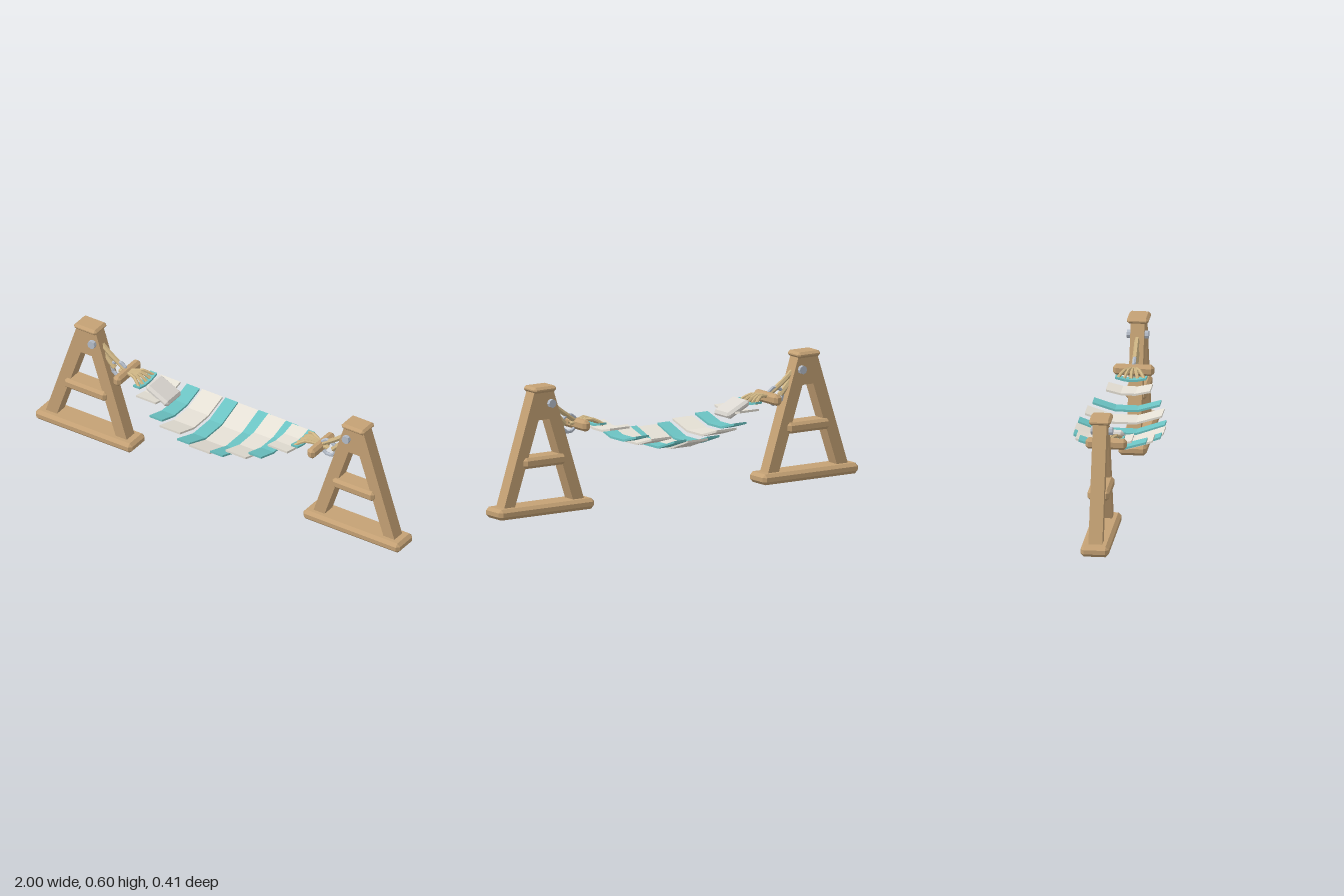
import * as THREE from 'three';
import { ConvexGeometry } from 'three/addons/geometries/ConvexGeometry.js';

const mat = (color) => new THREE.MeshStandardMaterial({ color, flatShading: true });
const V = (x, y, z) => new THREE.Vector3(x, y, z);

// Box with all edges and corners chamfered by c
function chamferBox(w, h, d, c) {
  const pts = [];
  for (const i of [-1, 1]) for (const j of [-1, 1]) for (const k of [-1, 1]) {
    const x = i * w / 2, y = j * h / 2, z = k * d / 2;
    pts.push(V(x, y - j * c, z - k * c), V(x - i * c, y, z - k * c), V(x - i * c, y - j * c, z));
  }
  return new ConvexGeometry(pts);
}

function add(group, name, geometry, material, x = 0, y = 0, z = 0) {
  const mesh = new THREE.Mesh(geometry, material);
  mesh.name = name;
  mesh.position.set(x, y, z);
  group.add(mesh);
  return mesh;
}

// Low-sided rope through a few points
const rope = (points, r) =>
  new THREE.TubeGeometry(new THREE.CatmullRomCurve3(points), 6, r, 6, false);

export function createModel() {
  const model = new THREE.Group();
  model.name = 'hammock';
  const wood = mat(0xc4a174), cream = mat(0xe6e1d6), teal = mat(0x6cc4c4);
  const ropeMat = mat(0xcdb483), metal = mat(0xb4bcc8), pillowMat = mat(0xdad6d0);
  ropeMat.side = THREE.DoubleSide;

  // A-frame outline with the opening between the legs
  const frame = new THREE.Shape([
    [-0.225, 0.04], [0.225, 0.04], [0.052, 0.575], [-0.052, 0.575],
  ].map(([x, y]) => new THREE.Vector2(x, y)));
  frame.holes.push(new THREE.Path([
    [-0.163, 0.045], [-0.03, 0.44], [0.03, 0.44], [0.163, 0.045],
  ].map(([x, y]) => new THREE.Vector2(x, y))));
  const frameGeo = new THREE.ExtrudeGeometry(frame, { depth: 0.064, bevelEnabled: false });
  frameGeo.translate(0, 0, -0.032);

  for (const s of [-1, 1]) {
    const end = new THREE.Group();
    end.name = s < 0 ? 'rightStand' : 'leftStand';
    model.add(end);

    // Wooden stand
    add(end, 'base', chamferBox(0.53, 0.05, 0.13, 0.015), wood, s * 0.735, 0.025);
    add(end, 'legs', frameGeo, wood, s * 0.735);
    add(end, 'rung', chamferBox(0.23, 0.05, 0.1, 0.013), wood, s * 0.735, 0.247);
    add(end, 'cap', chamferBox(0.125, 0.028, 0.1, 0.011), wood, s * 0.735, 0.581);

    // Bolt and hanging ring
    const bolt = new THREE.CylinderGeometry(0.02, 0.02, 0.1, 8).rotateX(Math.PI / 2);
    add(end, 'bolt', bolt, metal, s * 0.698, 0.513);
    add(end, 'ring', new THREE.TorusGeometry(0.04, 0.009, 6, 10), metal, s * 0.575, 0.4);

    // Hanging ropes from the bolt to the ring and spreader bar
    add(end, 'hangingRope', rope([V(s * 0.7, 0.513, 0), V(s * 0.65, 0.452, 0), V(s * 0.6, 0.4, 0)], 0.014), ropeMat);
    add(end, 'hangingRope', rope([V(s * 0.69, 0.52, 0), V(s * 0.62, 0.463, 0), V(s * 0.54, 0.41, 0)], 0.012), ropeMat);

    // Spreader bar
    add(end, 'spreaderBar', chamferBox(0.042, 0.05, 0.188, 0.013), wood, s * 0.533, 0.396);

    // Ropes fanning out to the fabric
    for (let i = -2; i <= 2; i++) {
      add(end, 'fanRope', rope([
        V(s * 0.57, 0.398, i * 0.003), V(s * 0.515, 0.407, i * 0.008),
        V(s * 0.465, 0.413, i * 0.019), V(s * 0.425, 0.388, i * 0.031),
      ], 0.008), ropeMat);
    }
  }

  // Fabric strips: inner x, outer x, half width, middle height, edge height
  const strips = [
    [-0.057, 0.057, 0.205, 0.233, 0.283], [0.057, 0.125, 0.2, 0.242, 0.289],
    [0.125, 0.237, 0.177, 0.27, 0.307], [0.237, 0.307, 0.155, 0.292, 0.323],
    [0.307, 0.415, 0.102, 0.347, 0.363], [0.415, 0.452, 0.072, 0.377, 0.388],
  ];
  const t = 0.01;
  strips.forEach(([x0, x1, w, y0, y1], i) => {
    const k = w / 3;
    const profile = new THREE.Shape([
      [-w, y1], [-k, y0], [k, y0], [w, y1], [w, y1 + t], [k, y0 + t], [-k, y0 + t], [-w, y1 + t],
    ].map(([x, y]) => new THREE.Vector2(x, y)));
    const geo = new THREE.ExtrudeGeometry(profile, { depth: x1 - x0, bevelEnabled: false });
    geo.translate(0, 0, (x0 - x1) / 2).rotateY(Math.PI / 2);
    for (const s of i ? [-1, 1] : [1]) {
      add(model, 'fabricStrip', geo, i % 2 ? teal : cream, s * (x0 + x1) / 2);
    }
  });

  // Pillow
  add(model, 'pillow', chamferBox(0.135, 0.034, 0.124, 0.012), pillowMat, -0.333, 0.371)
    .rotation.z = -0.46;

  return model;
}
